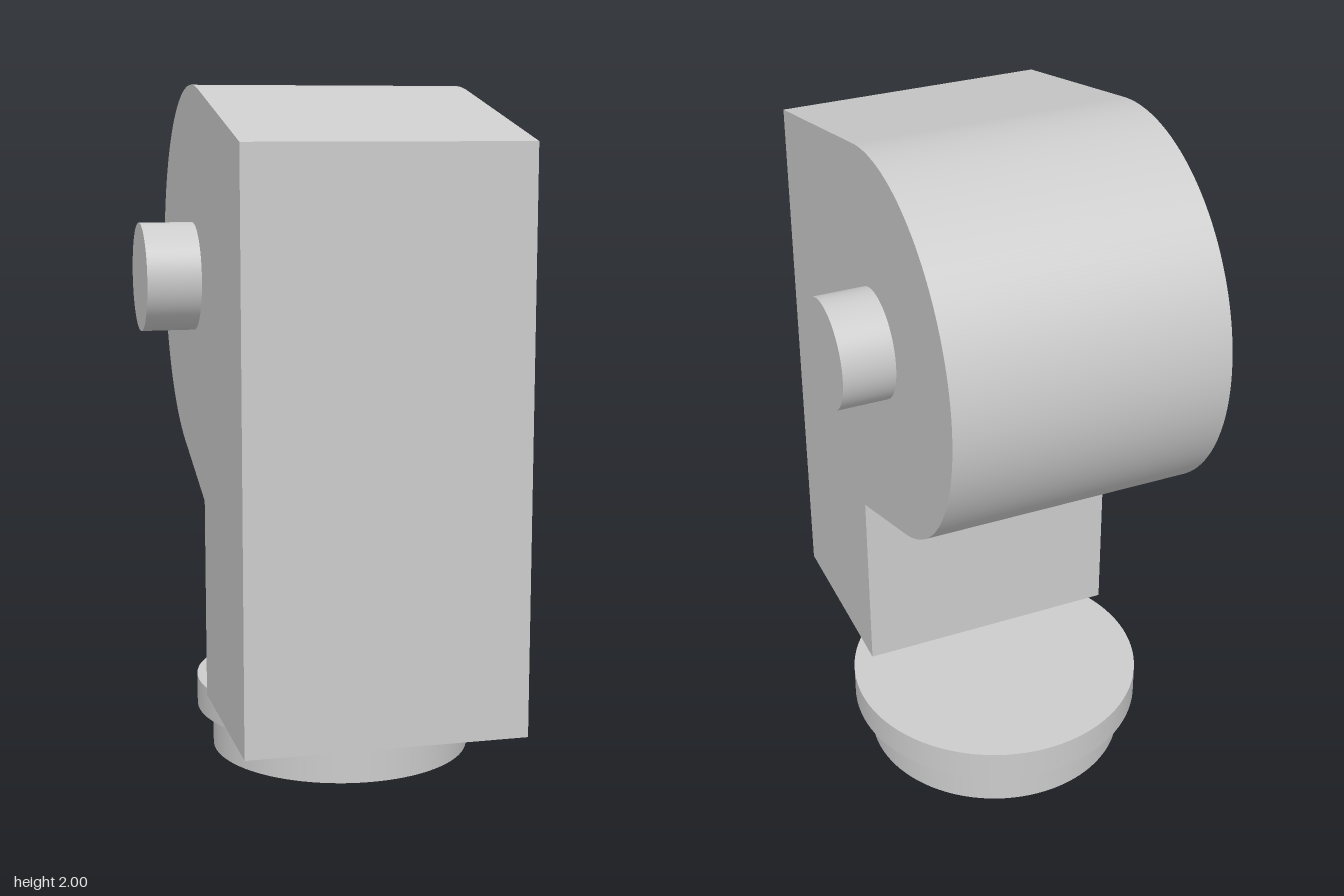
import * as THREE from 'three';
import { toCreasedNormals } from 'three/addons/utils/BufferGeometryUtils.js';

const material = new THREE.MeshStandardMaterial({ color: 0xcccccc });
const AXIS = { z: -0.093, y: 1.45 }; // centre of the rounded head and its pin
const HEAD_RADIUS = 0.55;

// Angle at which a line from (z, y) touches the head; side picks which tangent
function tangentAngle(z, y, side) {
  const dz = z - AXIS.z, dy = y - AXIS.y;
  return Math.atan2(dy, dz) + side * Math.acos(HEAD_RADIUS / Math.hypot(dz, dy));
}

function cylinder(name, radius, length) {
  const mesh = new THREE.Mesh(new THREE.CylinderGeometry(radius, radius, length, 96), material);
  mesh.name = name;
  return mesh;
}

export function createModel() {
  const group = new THREE.Group();
  group.name = 'pivotBracket';

  // Body: side profile drawn in (z, y), extruded across the width
  const front = 0.645, back = 0.066, bottom = 0.225, top = 1.845, throat = 0.81;
  const profile = new THREE.Shape();
  profile.moveTo(back, bottom);
  profile.lineTo(front, bottom);
  profile.lineTo(front, top);
  profile.absarc(AXIS.z, AXIS.y, HEAD_RADIUS,
    tangentAngle(front, top, 1), tangentAngle(back, throat, -1) + 2 * Math.PI, false);
  profile.lineTo(back, throat);
  profile.closePath();
  const width = 0.794;
  const bodyGeometry = new THREE.ExtrudeGeometry(profile, {
    depth: width, bevelEnabled: false, curveSegments: 72,
  });
  bodyGeometry.translate(0, 0, -width / 2).rotateY(-Math.PI / 2);
  const body = new THREE.Mesh(toCreasedNormals(bodyGeometry, 0.25), material);
  body.name = 'body';
  body.position.x = 0.003;
  group.add(body);

  // Pivot pin through the head
  const pin = cylinder('pivotPin', 0.157, 1.1);
  pin.rotation.z = Math.PI / 2;
  pin.position.set(0, AXIS.y, AXIS.z);
  group.add(pin);

  // Stepped round foot, set slightly to the left
  const foot = new THREE.Group();
  foot.name = 'foot';
  const base = cylinder('footBase', 0.392, 0.13);
  base.position.y = 0.065;
  const flange = cylinder('footFlange', 0.44, 0.092);
  flange.position.y = 0.176;
  foot.add(base, flange);
  foot.position.set(0.05, 0, AXIS.z);
  group.add(foot);

  return group;
}
